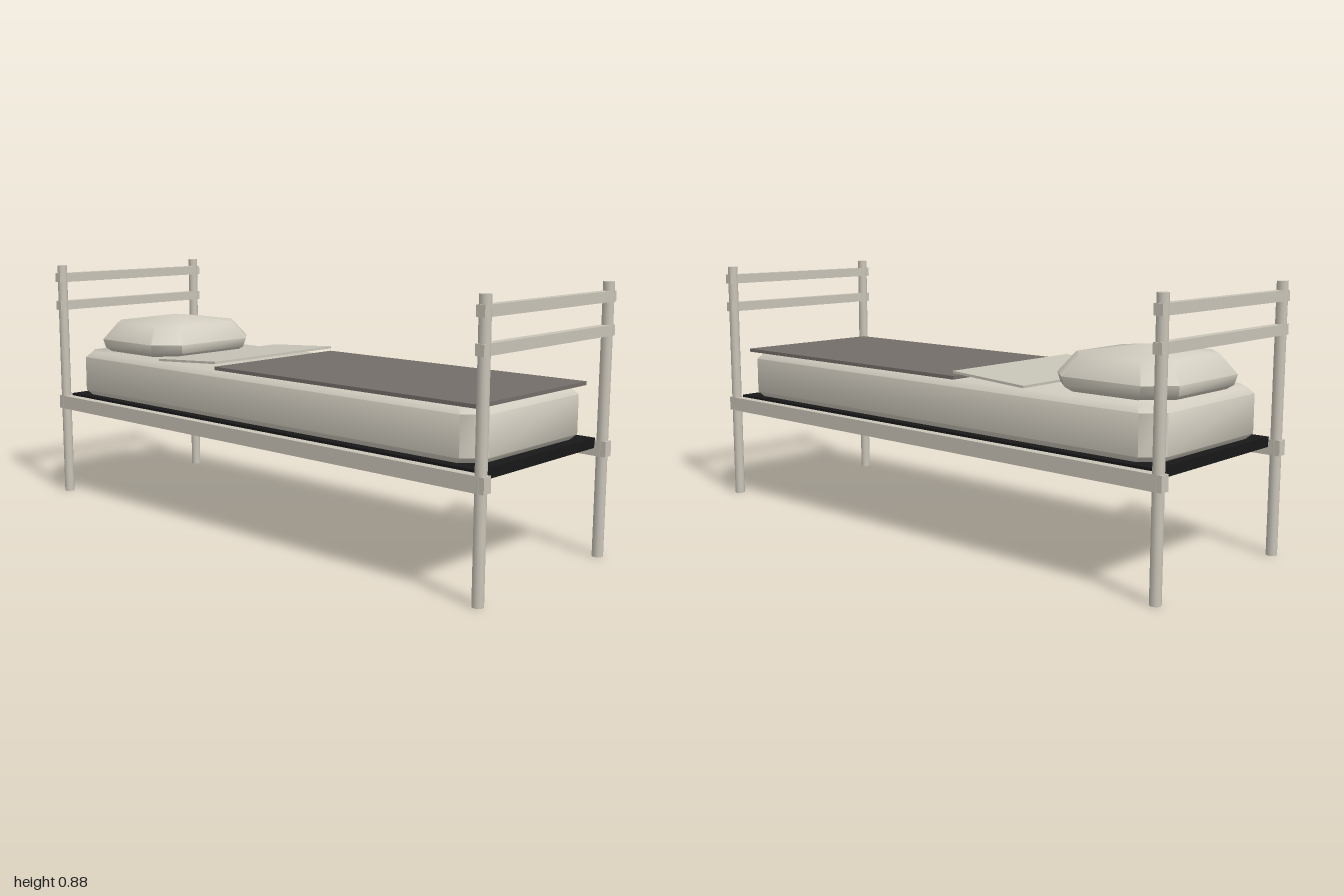
import * as THREE from 'three';
import { toCreasedNormals } from 'three/addons/utils/BufferGeometryUtils.js';

const mat = (name, color, side = THREE.FrontSide) => {
  const m = new THREE.MeshStandardMaterial({ color, side });
  m.name = name;
  return m;
};

// Stacks chamfered-rectangle rings [y, halfX, halfZ, chamfer] into a closed, softly shaded solid
function loft(rings, topY) {
  const pos = [], idx = [], n = 8;
  for (const [y, hx, hz, c] of rings) {
    const a = hx - c, b = hz - c;
    for (const [x, z] of [[hx, -b], [hx, b], [a, hz], [-a, hz], [-hx, b], [-hx, -b], [-a, -hz], [a, -hz]]) pos.push(x, y, z);
  }
  const last = (rings.length - 1) * n, bottom = rings.length * n, top = bottom + 1;
  pos.push(0, rings[0][0], 0, 0, topY, 0);
  for (let i = 0; i < n; i++) {
    const j = (i + 1) % n;
    for (let r = 0; r < last; r += n) idx.push(r + i, r + n + i, r + j, r + j, r + n + i, r + n + j);
    idx.push(bottom, i, j, top, last + j, last + i);
  }
  const g = new THREE.BufferGeometry();
  g.setAttribute('position', new THREE.Float32BufferAttribute(pos, 3));
  g.setIndex(idx);
  return toCreasedNormals(g, 0.87);
}

export function createModel() {
  const bed = new THREE.Group();
  bed.name = 'bed';
  const frame = mat('frame paint', 0xc9c4b8);
  const linen = mat('linen', 0xd2cdc0);
  const sheet = mat('folded sheet', 0xc8c4b8);
  const wool = mat('grey blanket', 0x746e69);
  const black = mat('black base', 0x181818);

  const add = (name, geo, material, x, y, z) => {
    const m = new THREE.Mesh(geo, material);
    m.name = name;
    m.position.set(x, y, z);
    bed.add(m);
    return m;
  };
  const box = (name, material, w, h, d, x, y, z) => add(name, new THREE.BoxGeometry(w, h, d), material, x, y, z);

  // Posts, end bars and side rails
  for (const s of [-1, 1]) {
    for (const t of [-1, 1]) add('post', new THREE.CylinderGeometry(0.018, 0.018, 0.883, 12), frame, s * 0.978, 0.4415, t * 0.33);
    for (const y of [0.731, 0.837]) box('endBar', frame, 0.03, 0.034, 0.704, s * 0.978, y, 0);
    box('sideRail', frame, 2, 0.05, 0.034, 0, 0.355, s * 0.33);
  }

  // Base board
  box('base', black, 1.92, 0.033, 0.63, 0, 0.372, 0);

  // Mattress
  add('mattress', loft([
    [0.39, 0.925, 0.285, 0.06],
    [0.408, 0.943, 0.3, 0.06],
    [0.535, 0.943, 0.3, 0.06],
    [0.555, 0.925, 0.283, 0.06],
  ], 0.555), linen, -0.003, 0, 0);

  // Pillow
  add('pillow', loft([
    [0.556, 0.2, 0.22, 0.08],
    [0.57, 0.218, 0.235, 0.08],
    [0.602, 0.225, 0.242, 0.08],
    [0.667, 0.18, 0.195, 0.07],
  ], 0.693), linen, -0.705, 0, 0);

  // Blanket and the turned-back sheet, which lifts towards the foot
  box('blanket', wool, 1.09, 0.012, 0.588, 0.39, 0.563, 0);
  const fold = box('foldedSheet', sheet, 0.3, 0.008, 0.588, -0.303, 0.573, 0);
  fold.rotation.z = 0.06;

  return bed;
}
